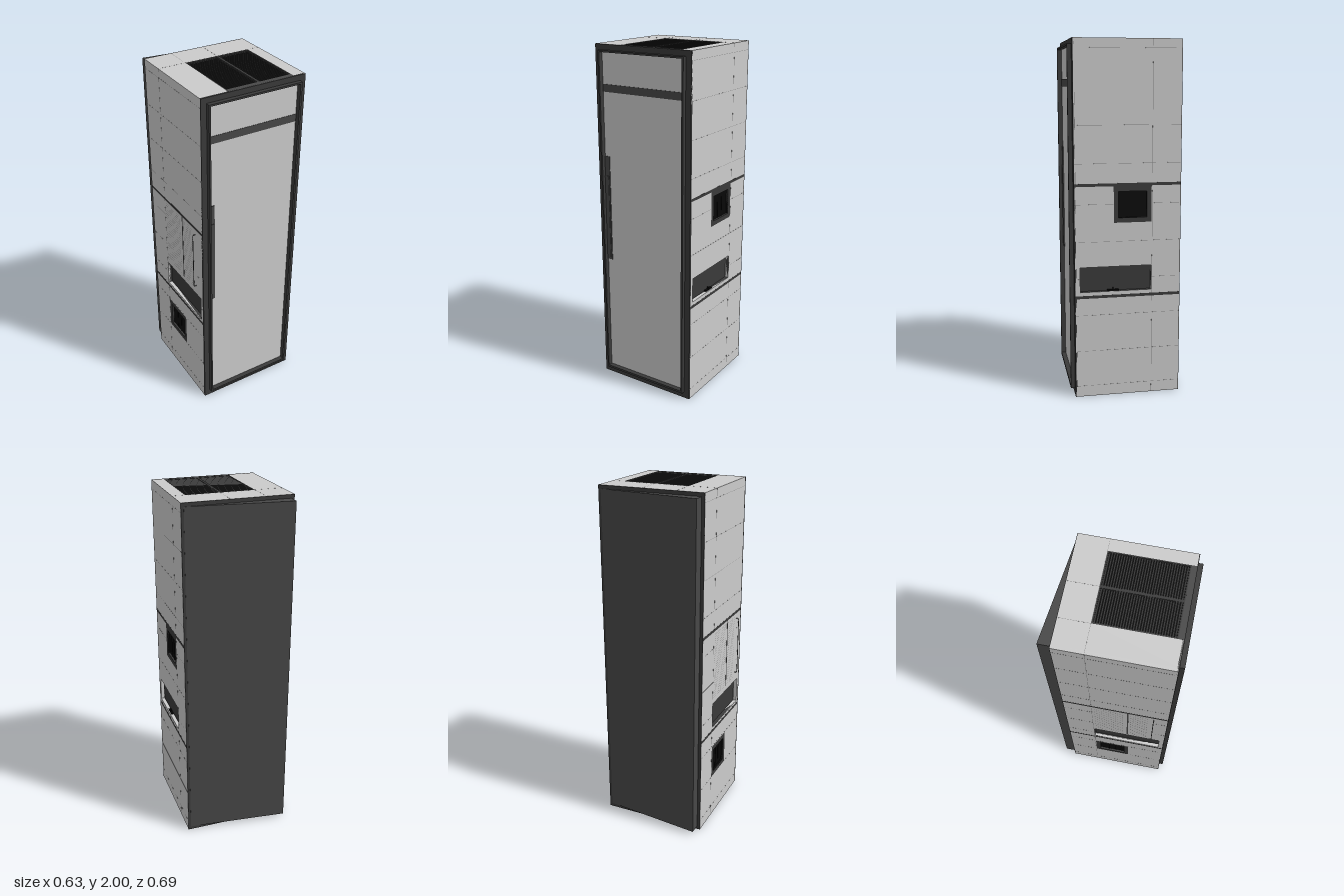
import * as THREE from 'three';
import { mergeGeometries } from 'three/addons/utils/BufferGeometryUtils.js';

const mat = (color) => new THREE.MeshStandardMaterial({ color, side: THREE.DoubleSide });
const GREY = mat(0xcccccc), TRIM = mat(0x484848), DARK = mat(0x3a3a3a), BLACK = mat(0x080808), SEAM = mat(0x888888);
const X0 = -0.298, X1 = 0.315, Z0 = -0.278, Z1 = 0.317, T = 0.02;

function add(parent, name, geo, material) {
  const m = new THREE.Mesh(geo, material);
  m.name = name;
  parent.add(m);
  return m;
}

// Box given by its limits on each axis
function span(x0, x1, y0, y1, z0, z1) {
  return new THREE.BoxGeometry(x1 - x0, y1 - y0, z1 - z0)
    .translate((x0 + x1) / 2, (y0 + y1) / 2, (z0 + z1) / 2);
}

// Rectangular plate [x0, x1, y0, y1] with rectangular holes, from z0 to z1
function plate([x0, x1, y0, y1], holes, z0, z1) {
  const corners = (a, b, c, d) => [[a, c], [b, c], [b, d], [a, d]].map((p) => new THREE.Vector2(...p));
  const shape = new THREE.Shape(corners(x0, x1, y0, y1));
  for (const h of holes) shape.holes.push(new THREE.Path(corners(...h).reverse()));
  return new THREE.ExtrudeGeometry(shape, { depth: z1 - z0, bevelEnabled: false }).translate(0, 0, z0);
}

// Open-fronted box behind a hole; the front (+z) face is left out
function pocket([x0, x1, y0, y1], depth) {
  const geo = span(x0, x1, y0, y1, -depth, 0);
  geo.setIndex([...geo.index.array].filter((_, i) => i < 24 || i >= 30));
  geo.clearGroups();
  return geo;
}

// Small round perforations over a rectangle
function dots([x0, x1, y0, y1], step, z) {
  const list = [];
  for (let x = x0; x <= x1; x += step)
    for (let y = y0; y <= y1; y += step)
      list.push(new THREE.CircleGeometry(step * 0.2, 6).translate(x, y, z));
  return mergeGeometries(list);
}

// A face of the housing, drawn in its own plane with the outer surface at z = 0
function face(root, name, rx, ry, pos, rect, holes) {
  const g = new THREE.Group();
  g.name = name;
  g.rotation.set(rx, ry, 0);
  g.position.set(...pos);
  root.add(g);
  add(g, name + 'Panel', plate(rect, holes, -T, 0), GREY);
  return g;
}

// Seams and dark bands on a side wall, interrupted by its openings
function seams(g, [x0, x1], gaps, seamX) {
  const lines = [span(seamX - 0.001, seamX + 0.001, 0, 2, -0.001, 0.0003)];
  const row = (a, b, y) => lines.push(span(a, b, y - 0.0007, y + 0.0007, -0.001, 0.0003));
  for (const y of [0.063, 0.27, 0.48, 0.69, 0.9, 1.11, 1.334, 1.542, 1.746, 1.95]) {
    let a = x0;
    for (const h of gaps) {
      if (y < h[2] || y > h[3]) continue;
      row(a, h[0], y);
      a = h[1];
    }
    row(a, x1, y);
  }
  add(g, 'seams', mergeGeometries(lines), SEAM);
  for (const y of [0.586, 1.217])
    add(g, 'darkBand', span(x0, x1, y - 0.008, y + 0.008, -0.002, 0.0005), DARK);
}

// Framed square vent with two upright bars
function ventWindow(g, h) {
  const inner = [h[0] + 0.027, h[1] - 0.027, h[2] + 0.027, h[3] - 0.03];
  add(g, 'windowFrame', plate(h, [inner], -T, 0), DARK);
  add(g, 'windowRecess', pocket(inner, 0.012), BLACK);
  for (const f of [0.36, 0.64]) {
    const x = inner[0] + (inner[1] - inner[0]) * f;
    add(g, 'windowBar', span(x - 0.002, x + 0.002, inner[2], inner[3], -0.011, -0.009), BLACK);
  }
}

export function createModel() {
  const root = new THREE.Group();
  root.name = 'cabinet';

  // Left side (+x): vent window above a wide recess; local x runs along -z
  const lw = [-0.1, 0.113, 1.005, 1.209], lr = [-0.29, 0.113, 0.615, 0.757];
  const left = face(root, 'leftSide', 0, Math.PI / 2, [X1, 0, 0], [-Z1, -Z0, 0, 2], [lw, lr]);
  seams(left, [-Z1, -Z0], [lr, lw], 0.117);
  ventWindow(left, lw);
  add(left, 'wideRecess', pocket(lr, 0.022), DARK);
  add(left, 'spoutBase', span(-0.135, -0.07, 0.615, 0.622, -0.02, -0.006), BLACK);
  add(left, 'spoutPin', span(-0.105, -0.1, 0.615, 0.634, -0.016, -0.01), BLACK);

  // Right side (-x): perforated doors, recess and a low vent window; local x runs along z
  const rw = [-0.113, 0.1, 0.27, 0.475], rr = [-0.113, 0.29, 0.608, 0.762];
  const doors = [-0.113, 0.25, 0.765, 1.209];
  const right = face(root, 'rightSide', 0, -Math.PI / 2, [X0, 0, 0], [Z0, Z1, 0, 2], [rw, rr]);
  seams(right, [Z0, Z1], [rw, rr, doors], -0.117);
  ventWindow(right, rw);
  add(right, 'wideRecess', pocket(rr, 0.022), DARK);
  add(right, 'doorPerforations', mergeGeometries([
    dots([-0.1, 0.075, 0.8, 1.2], 0.0135, 0.0006),
    dots([0.11, 0.215, 0.8, 1.2], 0.0135, 0.0006),
  ]), SEAM);
  add(right, 'doorDivider', span(0.088, 0.096, 0.79, 1.209, 0, 0.001), TRIM);

  // Bow handle on the right side
  const bow = new THREE.CurvePath();
  const p = [[0, 0.825], [0.012, 0.825], [0.0155, 0.831], [0.0155, 1.171], [0.012, 1.177], [0, 1.177]]
    .map(([z, y]) => new THREE.Vector3(0.24, y, z));
  for (let i = 0; i < p.length - 1; i++) bow.add(new THREE.LineCurve3(p[i], p[i + 1]));
  add(right, 'bowHandle', new THREE.TubeGeometry(bow, 60, 0.0022, 8), TRIM);

  // Top: two louvred grilles in a dark tray; local y runs along -z
  const vent = [-0.14, 0.247, -0.29, 0.117];
  const inX = [X0 + T, X1 - T];
  const top = face(root, 'top', -Math.PI / 2, 0, [0, 2, 0], [...inX, -Z1, -Z0], [vent]);
  add(top, 'ventTray', pocket(vent, 0.014), BLACK);
  const bays = [[-0.133, 0.046], [0.061, 0.24]].map((b) => [...b, -0.283, 0.11]);
  add(top, 'grilleFrame', plate(vent, bays, -0.012, 0), DARK);
  const slats = [];
  for (const [a, b] of bays)
    for (let i = 0; i < 32; i++)
      slats.push(new THREE.BoxGeometry(b - a, 0.0105, 0.002).rotateX(-0.3)
        .translate((a + b) / 2, -0.277 + i * 0.0123, -0.004));
  add(top, 'louvres', mergeGeometries(slats), DARK);
  add(top, 'frontStrip', span(vent[0], vent[1], -Z1, -0.29, -0.004, 0.0005), TRIM);
  add(top, 'topSeams', mergeGeometries([
    span(X0, X1, 0.117, 0.1185, -0.001, 0.0003),
    span(-0.141, -0.1395, 0.118, -Z0, -0.001, 0.0003),
    span(0.053, 0.0545, 0.118, -Z0, -0.001, 0.0003),
  ]), SEAM);

  // Underside with a black opening; local y runs along z
  const open = [-0.14, 0.247, -0.117, 0.29];
  const base = face(root, 'underside', Math.PI / 2, 0, [0, 0, 0], [...inX, Z0, Z1], [open]);
  add(base, 'baseOpening', pocket(open, 0.014), BLACK);

  // Front: outer frame, raised door frame, sunken door panel, cross band
  const door = [-0.255, 0.271, 0.053, 1.96];
  add(root, 'outerFrame', plate([X0, X1, 0, 2], [door], 0.31, 0.321), DARK);
  add(root, 'doorFrame', plate([-0.265, 0.282, 0.04, 1.97], [door], 0.321, 0.345), DARK);
  add(root, 'doorPanel', span(...door, 0.305, 0.318), GREY);
  add(root, 'doorBand', span(door[0], door[1], 1.745, 1.787, 0.315, 0.32), TRIM);
  add(root, 'doorPerforations', dots([-0.243, -0.13, 1.8, 1.95], 0.0125, 0.3186), GREY);

  // Long upright pull on the door
  add(root, 'pullPlate', span(-0.255, -0.223, 0.76, 1.383, 0.315, 0.322), TRIM);
  add(root, 'pullGrip', span(-0.255, -0.23, 0.775, 1.27, 0.32, 0.325), TRIM);

  // Back: thin plate and a wedge-shaped cover
  add(root, 'backPlate', span(X0, X1, 0, 2, -0.28, -0.276), DARK);
  const wedge = new THREE.Shape([[-0.28, 0.279], [0.3, 0.279], [0.3, 0.281], [-0.28, 0.345]]
    .map((q) => new THREE.Vector2(...q)));
  const cover = add(root, 'backCover', new THREE.ExtrudeGeometry(wedge, { depth: 1.96, bevelEnabled: false }), TRIM);
  cover.rotation.x = -Math.PI / 2;
  cover.position.y = 0.02;
  return root;
}
